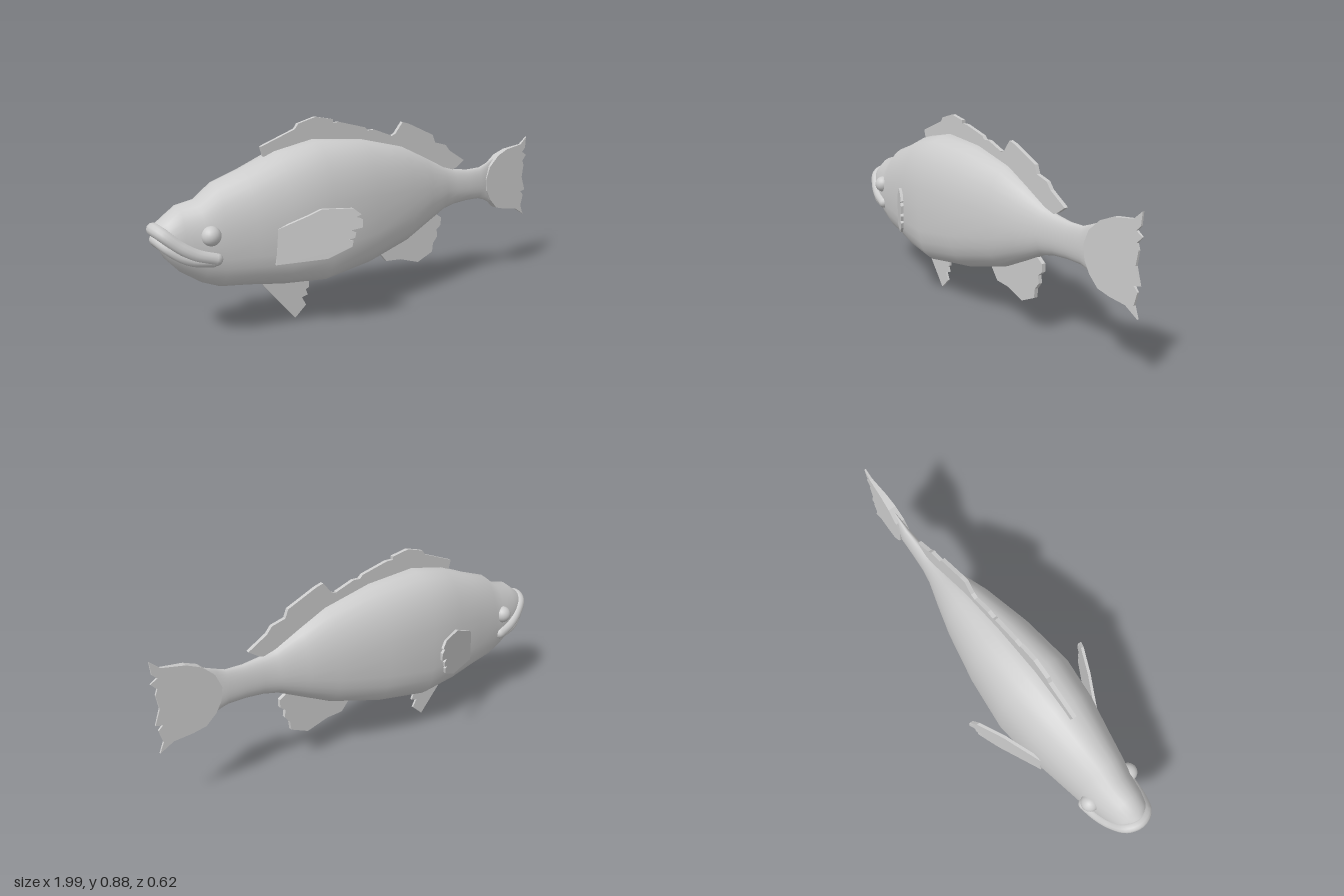
import * as THREE from 'three';

const smooth = new THREE.MeshStandardMaterial({ color: 0xcccccc, side: THREE.DoubleSide });
const flat = new THREE.MeshStandardMaterial({ color: 0xcccccc, side: THREE.DoubleSide, flatShading: true });

// Body stations from snout to tail: x, top, bottom, half width
const STATIONS = [
  [-0.975, 0.5, 0.46, 0.002], [-0.97, 0.51, 0.43, 0.045], [-0.935, 0.535, 0.365, 0.078],
  [-0.88, 0.575, 0.305, 0.097], [-0.8, 0.59, 0.25, 0.112], [-0.725, 0.648, 0.22, 0.125],
  [-0.6, 0.69, 0.207, 0.147], [-0.45, 0.75, 0.186, 0.174], [-0.27, 0.785, 0.174, 0.19],
  [-0.03, 0.765, 0.205, 0.167], [0.2, 0.71, 0.265, 0.123], [0.33, 0.648, 0.325, 0.087],
  [0.45, 0.588, 0.382, 0.05], [0.52, 0.568, 0.398, 0.037], [0.6, 0.558, 0.405, 0.03],
  [0.68, 0.56, 0.404, 0.024], [0.72, 0.575, 0.392, 0.02], [0.77, 0.595, 0.365, 0.012],
  [0.775, 0.58, 0.38, 0.001],
];

// Loft of rounded sections, rounder above and boxier below
function bodyGeometry(sides = 28) {
  const pos = [], index = [];
  STATIONS.forEach(([x, top, bottom, w], i) => {
    const mid = bottom + (top - bottom) * 0.45;
    for (let j = 0; j < sides; j++) {
      const t = (j / sides) * Math.PI * 2, c = Math.cos(t), s = Math.sin(t);
      const boxy = THREE.MathUtils.clamp(0.9 - Math.abs(x + 0.27) * 1.4, 0, 1);
      const e = 2 / (c > 0 ? 2 + boxy * 0.4 : 2.1 + boxy * 1.2);
      const h = c > 0 ? top - mid : mid - bottom;
      pos.push(x, mid + Math.sign(c) * Math.abs(c) ** e * h, Math.sign(s) * Math.abs(s) ** e * w);
      if (i < STATIONS.length - 1) {
        const a = i * sides + j, b = i * sides + (j + 1) % sides;
        index.push(a, b, a + sides, b, b + sides, a + sides);
      }
    }
  });
  const g = new THREE.BufferGeometry();
  g.setAttribute('position', new THREE.Float32BufferAttribute(pos, 3));
  g.setIndex(index);
  g.computeVertexNormals();
  return g;
}

// Thin plate from an outline in the xy plane, centred on z = 0
function finGeometry(points, thickness) {
  const shape = new THREE.Shape(points.map(([x, y]) => new THREE.Vector2(x, y)));
  const g = new THREE.ExtrudeGeometry(shape, { depth: thickness, bevelEnabled: false });
  return g.translate(0, 0, -thickness / 2);
}

// Move z by a rule of x and y
function warpZ(g, rule) {
  const p = g.attributes.position;
  for (let i = 0; i < p.count; i++) p.setZ(i, rule(p.getX(i), p.getY(i), p.getZ(i)));
  g.computeVertexNormals();
  return g;
}

const FINS = {
  frontDorsalFin: [[-0.49, 0.7], [-0.51, 0.772], [-0.35, 0.832], [-0.335, 0.853], [-0.25, 0.876], [-0.165, 0.86],
    [-0.165, 0.845], [-0.13, 0.845], [0, 0.812], [0.015, 0.797], [0.05, 0.798], [0.14, 0.765], [0.14, 0.7], [-0.25, 0.74]],
  rearDorsalFin: [[0.11, 0.7], [0.135, 0.758], [0.165, 0.77], [0.205, 0.82], [0.24, 0.81], [0.38, 0.747],
    [0.395, 0.71], [0.46, 0.692], [0.485, 0.662], [0.575, 0.608], [0.53, 0.578], [0.46, 0.55], [0.3, 0.63]],
  analFin: [[0.05, 0.26], [0.12, 0.177], [0.2, 0.172], [0.305, 0.14], [0.39, 0.178], [0.395, 0.22],
    [0.42, 0.25], [0.415, 0.285], [0.44, 0.305], [0.44, 0.342], [0.39, 0.375], [0.25, 0.32]],
  pelvicFin: [[-0.54, 0.22], [-0.51, 0.17], [-0.365, 0], [-0.31, 0.05], [-0.33, 0.088], [-0.3, 0.095],
    [-0.31, 0.12], [-0.293, 0.13], [-0.295, 0.2]],
};
const PECTORAL = [[-0.53, 0.31], [-0.34, 0.328], [-0.25, 0.375], [-0.245, 0.4], [-0.265, 0.405], [-0.24, 0.412],
  [-0.235, 0.435], [-0.255, 0.444], [-0.21, 0.455], [-0.21, 0.49], [-0.235, 0.5], [-0.215, 0.51],
  [-0.245, 0.536], [-0.36, 0.536], [-0.41, 0.51], [-0.52, 0.46]];
const TAIL = [[0.79, 0.61], [0.85, 0.635], [0.95, 0.65], [0.99, 0.685], [0.985, 0.63], [0.965, 0.61], [0.995, 0.592],
  [0.97, 0.565], [0.98, 0.54], [0.97, 0.48], [0.995, 0.41], [0.965, 0.405], [0.985, 0.385], [0.97, 0.33],
  [0.99, 0.283], [0.93, 0.32], [0.85, 0.33], [0.79, 0.345], [0.745, 0.39], [0.718, 0.44], [0.71, 0.5], [0.735, 0.56]];

export function createModel() {
  const fish = new THREE.Group();
  fish.name = 'fish';
  const add = (name, geometry, material = smooth, parent = fish) => {
    const mesh = new THREE.Mesh(geometry, material);
    mesh.name = name;
    parent.add(mesh);
    return mesh;
  };

  add('body', bodyGeometry());

  // Fins on the centre line
  for (const [name, points] of Object.entries(FINS)) {
    add(name, finGeometry(points, name === 'pelvicFin' ? 0.01 : 0.018), flat);
  }

  // Tail fin, thick at the root and thin at the tips
  add('tailFin', warpZ(finGeometry(TAIL, 1), (x, y, z) => z * THREE.MathUtils.mapLinear(x, 0.71, 1, 0.05, 0.006)), flat);

  // Lips wrapping around the snout
  const lip = (name, half, radius) => {
    const mirrored = half.slice(1).reverse().map(([x, y, z]) => [x, y, -z]);
    const path = new THREE.CatmullRomCurve3([...mirrored, ...half].map((p) => new THREE.Vector3(...p)));
    const group = new THREE.Group();
    group.name = name;
    add(name + 'Roll', new THREE.TubeGeometry(path, 40, radius, 12), smooth, group);
    for (const t of [0, 1]) {
      add(name + 'Corner', new THREE.SphereGeometry(radius, 12, 8), smooth, group).position.copy(path.getPoint(t));
    }
    fish.add(group);
  };
  lip('upperLip', [[-0.972, 0.49, 0], [-0.955, 0.475, 0.05], [-0.9, 0.425, 0.083], [-0.84, 0.388, 0.1], [-0.768, 0.365, 0.11]], 0.027);
  lip('lowerLip', [[-0.968, 0.45, 0], [-0.945, 0.425, 0.05], [-0.9, 0.39, 0.078], [-0.85, 0.367, 0.093], [-0.78, 0.357, 0.105]], 0.024);

  // Paired eyes and pectoral fins
  for (const [side, s] of [['front', 1], ['back', -1]]) {
    const eye = add(side + 'Eye', new THREE.SphereGeometry(0.04, 20, 14));
    eye.position.set(-0.783, 0.46, s * 0.105);
    const fin = finGeometry(PECTORAL, 0.014);
    add(side + 'PectoralFin', warpZ(fin, (x, y, z) => z + s * (0.15 + (x + 0.53) * 0.475)), flat);
  }
  return fish;
}
